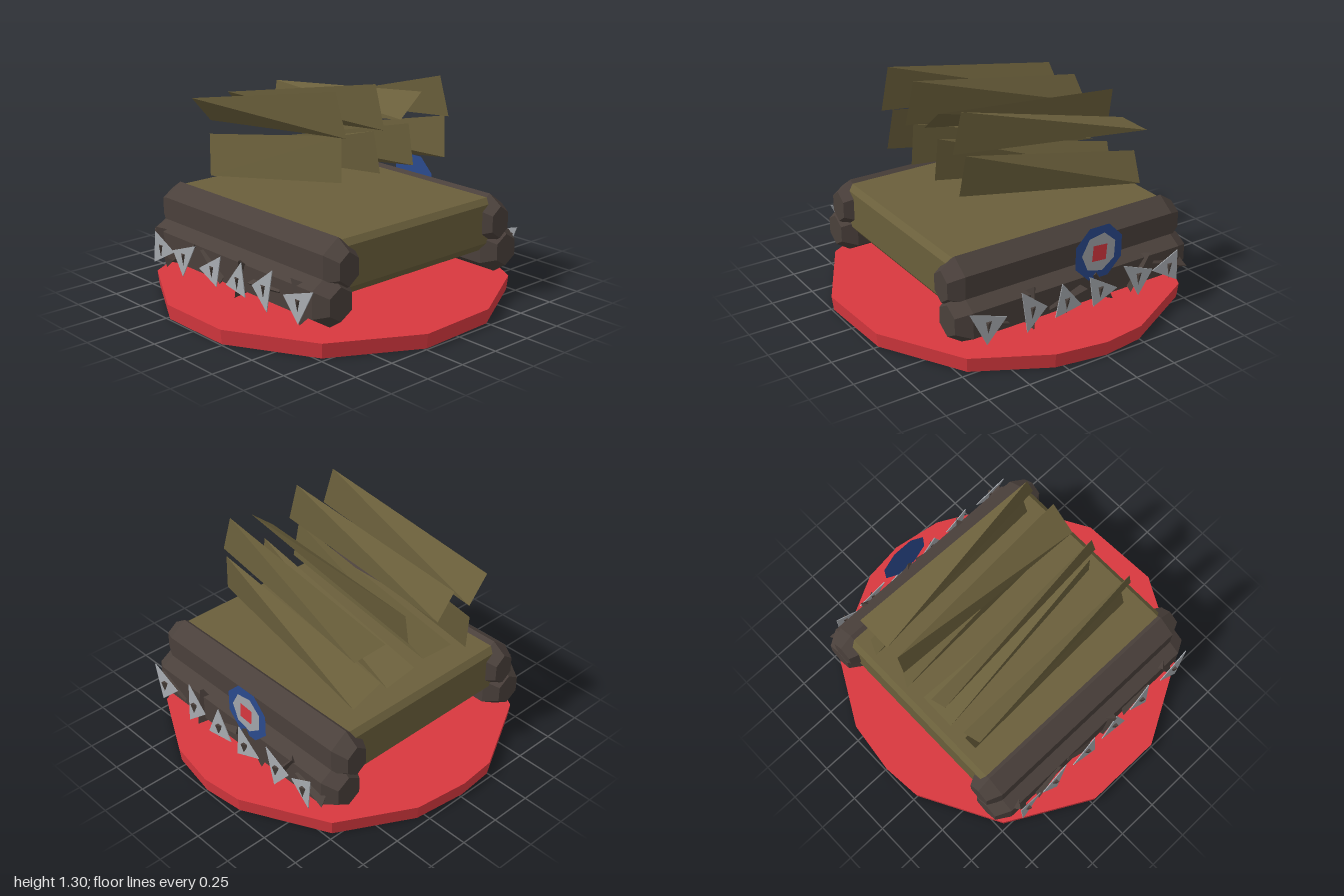
import * as THREE from 'three';
import { ConvexGeometry } from 'three/addons/geometries/ConvexGeometry.js';

const material = (name, color, side = THREE.FrontSide) => {
  const m = new THREE.MeshStandardMaterial({ color, side, flatShading: true });
  m.name = name;
  return m;
};
const V = (x, y, z) => new THREE.Vector3(x, y, z);

export function createModel() {
  const red = material('red', 0xd8383f, THREE.DoubleSide);
  const olive = material('olive', 0x6a5f3b);
  const brown = material('dark brown', 0x4a403b);
  const grey = material('light grey', 0xa2a6ab, THREE.DoubleSide);
  const blue = material('blue', 0x2b4a8e, THREE.DoubleSide);

  const model = new THREE.Group();
  model.name = 'model';
  const add = (name, geometry, mat, parent = model) => {
    const mesh = new THREE.Mesh(geometry, mat);
    mesh.name = name;
    parent.add(mesh);
    return mesh;
  };

  // Uneven many-sided base plate
  const rim = [[-0.25, -0.98], [-0.02, -1], [0.3, -0.96], [0.72, -0.73], [0.97, -0.25], [1, 0],
    [0.95, 0.3], [0.73, 0.71], [0.25, 0.98], [-0.24, 1], [-0.73, 0.73], [-1, 0.24], [-1, -0.23], [-0.73, -0.72]];
  add('base', new ConvexGeometry(rim.flatMap(([x, z]) => [V(x, 0.085, z), V(x * 0.99, 0, z * 0.99)])), red);

  // Central slab with small chamfers front and back
  const slab = [[0.71, 0.33], [0.71, 0.555], [0.68, 0.587], [0.67, 0.28]];
  add('slab', new ConvexGeometry(slab.flatMap(([z, y]) =>
    [V(0.56, y, z), V(-0.56, y, z), V(0.56, y, -z), V(-0.56, y, -z)])), olive);

  // Six-sided roll along z with tapered ends
  const rollGeometry = (rx, ry, turn) => {
    const profile = [[0, -0.765], [0.62, -0.765], [1, -0.68], [1, 0.68], [0.62, 0.765], [0, 0.765]]
      .map(([r, h]) => new THREE.Vector2(r, h));
    const g = new THREE.LatheGeometry(profile, 6);
    return g.rotateY(turn).rotateX(Math.PI / 2).scale(rx, ry, 1);
  };

  // Triangular teeth: corners as z, y
  const teeth = [
    [[0.72, 0.37], [0.5, 0.3], [0.63, 0.18]],
    [[0.4, 0.4], [0.245, 0.28], [0.38, 0.17]],
    [[0.14, 0.375], [0.02, 0.22], [0.2, 0.2]],
    [[-0.04, 0.36], [-0.22, 0.25], [-0.05, 0.19]],
    [[-0.27, 0.36], [-0.465, 0.29], [-0.36, 0.165]],
    [[-0.475, 0.27], [-0.64, 0.36], [-0.635, 0.18]],
  ];

  for (const side of [1, -1]) {
    const wall = new THREE.Group();
    wall.name = side > 0 ? 'leftSide' : 'rightSide';
    model.add(wall);
    add('upperRoll', rollGeometry(0.12, 0.15, 0), brown, wall).position.set(side * 0.575, 0.455, 0);
    add('lowerRoll', rollGeometry(0.14, 0.15, 0), brown, wall).position.set(side * 0.632, 0.28, 0);

    teeth.forEach((corners, i) => {
      const z = corners.reduce((s, c) => s + c[0], 0) / 3;
      const y = corners.reduce((s, c) => s + c[1], 0) / 3;
      // Thin tooth plate, tilted a little
      add('tooth', new ConvexGeometry(corners.flatMap(([cz, cy], k) => {
        const x = 0.775 + k * 0.012;
        return [V(side * x, cy, cz), V(side * (x + 0.005), cy, cz)];
      })), grey, wall);
      // Dark stud on the tooth
      const stud = add('stud', new THREE.ConeGeometry(0.022, 0.09, 3), brown, wall);
      stud.rotation.x = Math.PI;
      stud.position.set(side * 0.792, y - 0.025, z);
      // Jagged rock behind the tooth
      const rock = add('spike', new THREE.TetrahedronGeometry(0.15), brown, wall);
      rock.rotation.set(i * 1.9 + 0.4, side * 0.12, 0);
      rock.position.set(side * 0.69, 0.275, z - 0.03);
    });
  }

  // Round badge on one side
  const badge = new THREE.Group();
  badge.name = 'badge';
  badge.position.set(0.765, 0.487, -0.105);
  badge.rotation.y = Math.PI / 2;
  model.add(badge);
  [['badgeRim', 0.166, 8, blue, 0.39], ['badgeRing', 0.115, 7, grey, 0.4], ['badgeCentre', 0.065, 4, red, 0.7]]
    .forEach(([name, r, n, mat, turn], i) => {
      add(name, new THREE.CircleGeometry(r, n, turn), mat, badge).position.z = i * 0.004;
    });

  // Floating blades: two front corners, two back corners
  const blades = [
    [[-0.42, 1.3, 0.49], [-0.4, 1.06, 0.55], [-0.49, 1.09, -0.66], [-0.36, 0.94, -0.66]],
    [[-0.38, 1.06, 0.49], [-0.405, 0.82, 0.52], [-0.37, 0.86, -0.66], [-0.4, 0.62, -0.62]],
    [[-0.14, 1.3, 0.49], [-0.13, 1.06, 0.55], [-0.23, 1.09, -0.66], [-0.11, 0.95, -0.66]],
    [[-0.15, 1.05, 0.49], [-0.13, 0.82, 0.52], [-0.24, 0.735, -0.65], [-0.02, 0.75, -0.65]],
    [[0.175, 1.22, 0.52], [0.02, 1.09, 0.52], [0.14, 1.11, -0.66], [0.11, 0.92, -0.66]],
    [[0.11, 1.05, 0.49], [0.12, 0.82, 0.52], [0.08, 0.76, -0.68], [0.21, 0.65, -0.61]],
    [[0.35, 1.28, 0.49], [0.36, 1.06, 0.55], [0.26, 0.98, -0.64], [0.48, 0.975, -0.64]],
    [[0.39, 1.05, 0.49], [0.37, 0.82, 0.52], [0.33, 0.79, -0.68], [0.465, 0.65, -0.62]],
  ];
  for (const corners of blades) {
    add('blade', new ConvexGeometry(corners.map((c) => V(...c))), olive);
  }
  return model;
}
